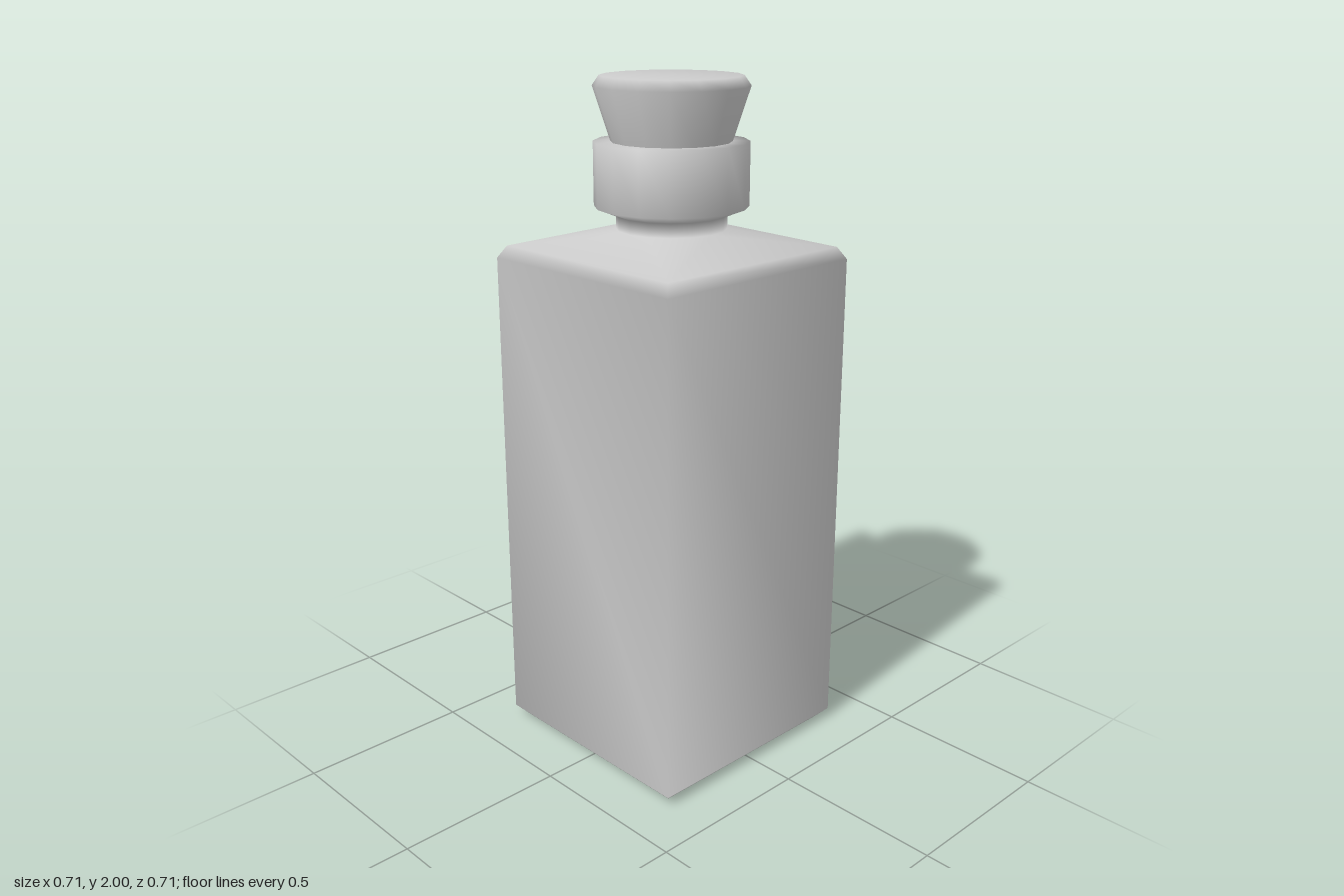
import * as THREE from 'three';
import { mergeVertices } from 'three/addons/utils/BufferGeometryUtils.js';

const SIDES = 16;

// Point k of a ring; square rings gather their points on the four corners.
function ringPoint({ y, r, square }, k) {
  k %= SIDES;
  if (square) {
    const corner = (Math.floor(k / 4) + 0.5) * Math.PI / 2;
    return [r * Math.SQRT2 * Math.cos(corner), y, r * Math.SQRT2 * Math.sin(corner)];
  }
  const a = k / SIDES * Math.PI * 2;
  return [r * Math.cos(a), y, r * Math.sin(a)];
}

// Skin a stack of rings from bottom to top with smooth shared normals.
function loft(rings) {
  const positions = [];
  const p = [0, 1, 2].map(() => new THREE.Vector3());
  const addTriangle = (...corners) => {
    corners.forEach((c, i) => p[i].fromArray(c));
    if (new THREE.Triangle(...p).getArea() > 1e-7) positions.push(...corners.flat());
  };
  for (let i = 0; i < rings.length - 1; i++) {
    for (let k = 0; k < SIDES; k++) {
      const a = ringPoint(rings[i], k), b = ringPoint(rings[i], k + 1);
      const c = ringPoint(rings[i + 1], k), d = ringPoint(rings[i + 1], k + 1);
      addTriangle(a, c, d);
      addTriangle(a, d, b);
    }
  }
  const raw = new THREE.BufferGeometry();
  raw.setAttribute('position', new THREE.Float32BufferAttribute(positions, 3));
  const geometry = mergeVertices(raw);
  geometry.computeVertexNormals();
  return geometry;
}

const square = (y, r) => ({ y, r, square: true });
const round = (y, r) => ({ y, r, square: false });

export function createModel() {
  const group = new THREE.Group();
  const material = new THREE.MeshStandardMaterial({ color: 0xcccccc });
  const add = (name, rings) => {
    const mesh = new THREE.Mesh(loft(rings), material);
    mesh.name = name;
    group.add(mesh);
  };

  // Square body, sloping shoulders, round neck and collar
  add('bottle', [
    square(0, 0), square(0, 0.325), square(0.03, 0.354),
    square(1.49, 0.354), square(1.525, 0.333),
    round(1.578, 0.158), round(1.618, 0.158),
    round(1.642, 0.22), round(1.822, 0.22), round(1.822, 0.15),
  ]);

  // Tapered stopper with a bevelled top
  add('stopper', [
    round(1.79, 0), round(1.79, 0.162), round(1.822, 0.171),
    round(1.972, 0.22), round(2, 0.2), round(2, 0),
  ]);

  return group;
}
